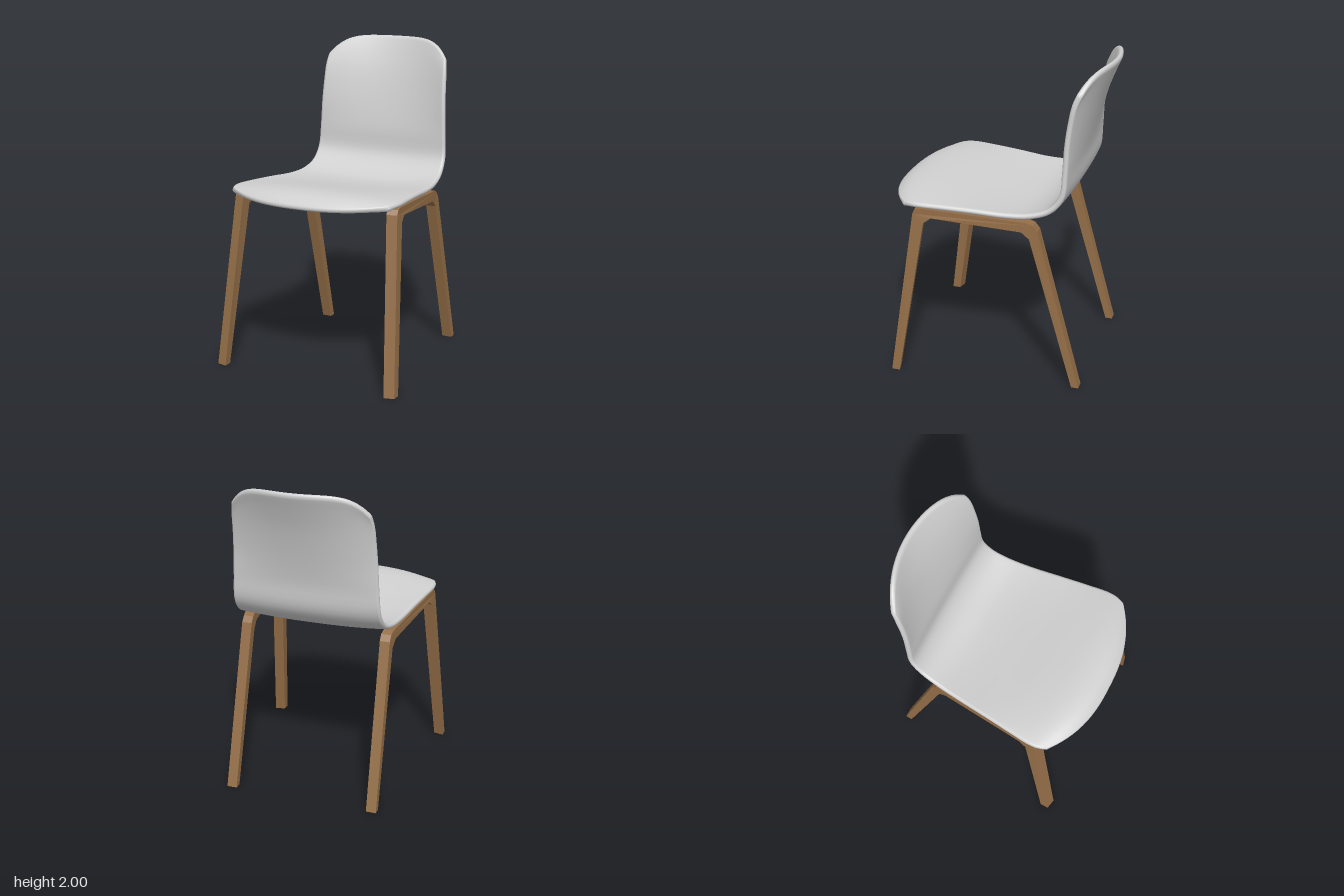
import * as THREE from 'three';
import { mergeVertices } from 'three/addons/utils/BufferGeometryUtils.js';

const V = (x, y, z) => new THREE.Vector3(x, y, z);
const clamp = THREE.MathUtils.clamp;

// Shell stations from front lip to top of back: centre z, y, then edge x, y, z
const STATIONS = [
  [0.673, 1.1, 0.54, 1.125, 0.51],
  [0.61, 1.145, 0.558, 1.13, 0.455],
  [0.5, 1.163, 0.563, 1.13, 0.4],
  [0.32, 1.147, 0.55, 1.127, 0.27],
  [0.1, 1.112, 0.528, 1.12, 0.09],
  [-0.12, 1.087, 0.503, 1.108, -0.12],
  [-0.27, 1.093, 0.487, 1.118, -0.27],
  [-0.39, 1.145, 0.475, 1.16, -0.385],
  [-0.465, 1.24, 0.467, 1.25, -0.455],
  [-0.485, 1.4, 0.458, 1.4, -0.47],
  [-0.525, 1.58, 0.451, 1.56, -0.475],
  [-0.58, 1.77, 0.444, 1.7, -0.49],
  [-0.63, 1.9, 0.439, 1.8, -0.51],
  [-0.673, 1.999, 0.428, 1.87, -0.54],
];
const centre = new THREE.CatmullRomCurve3(STATIONS.map(([z, y]) => V(0, y, z)));
const edge = new THREE.CatmullRomCurve3(STATIONS.map(([, , x, y, z]) => V(x, y, z)));

// Middle surface of the shell: t runs front to top, u runs from side to side
function shellPoint(t, u) {
  t = clamp(t, 0, 1);
  u = clamp(u, -1, 1);
  const c = centre.getPoint(t), e = edge.getPoint(t), a = Math.abs(u);
  const kz = t < 0.3 ? 2.5 : 2;
  const ky = 2.5 + 2.5 * THREE.MathUtils.smoothstep(t, 0.6, 0.95);
  return V(e.x * u, THREE.MathUtils.lerp(c.y, e.y, a ** ky), THREE.MathUtils.lerp(c.z, e.z, a ** kz));
}

// Parameters from 0 to 1, packed near both ends for the rounded rim
function samples(count, rim) {
  const list = [0, 0.07, 0.3, 0.65].map((f) => f * rim);
  const inner = [];
  for (let i = 0; i <= count; i++) inner.push(rim + ((1 - 2 * rim) * i) / count);
  return [...list, ...inner, ...list.map((v) => 1 - v).reverse()];
}

function shellGeometry() {
  const half = 0.0175, rimT = 0.02, rimU = 0.018, d = 0.004;
  const ts = samples(52, rimT), us = samples(28, rimU);
  const round = (v, rim) => {
    const q = 1 - Math.min(1, Math.min(v, 1 - v) / rim);
    return Math.sqrt(Math.max(0, 1 - q * q));
  };
  const positions = [], index = [], cols = us.length, size = ts.length * cols;
  for (const side of [1, -1]) {
    for (const t of ts) {
      for (const w of us) {
        const u = w * 2 - 1;
        const across = shellPoint(t, u + d).sub(shellPoint(t, u - d));
        const along = shellPoint(t + d, u).sub(shellPoint(t - d, u));
        const normal = across.cross(along).normalize();
        const p = shellPoint(t, u).addScaledVector(normal, side * half * round(t, rimT) * round(w, rimU));
        positions.push(p.x, p.y, p.z);
      }
    }
  }
  for (let i = 0; i < ts.length - 1; i++) {
    for (let j = 0; j < cols - 1; j++) {
      const a = i * cols + j, b = a + 1, c = a + cols, e = c + 1;
      index.push(a, b, c, b, e, c);
      index.push(...[a, c, b, b, c, e].map((k) => k + size));
    }
  }
  let g = new THREE.BufferGeometry();
  g.setAttribute('position', new THREE.Float32BufferAttribute(positions, 3));
  g.setIndex(index);
  g = mergeVertices(g, 1e-5);
  g.computeVertexNormals();
  return g;
}

// Side frame outline (z, y): outer edge front to rear, then inner edge back
const FRAME = [
  [0.61, 0], [0.46, 1.075], [0.443, 1.105], [0.405, 1.113], [-0.255, 1.075],
  [-0.29, 1.06], [-0.318, 1.025], [-0.595, 0], [-0.55, 0], [-0.268, 0.97],
  [-0.22, 1.012], [0.345, 1.055], [0.392, 1.02], [0.557, 0],
];

// Two legs and a rail in one bent piece, splayed outwards towards the feet
function frameGeometry(side) {
  const width = 0.064;
  const shape = new THREE.Shape(FRAME.map(([z, y]) => new THREE.Vector2(-z, y)));
  const g = new THREE.ExtrudeGeometry(shape, { depth: width, bevelEnabled: false });
  g.translate(0, 0, -width / 2).rotateY(Math.PI / 2);
  const p = g.attributes.position;
  for (let i = 0; i < p.count; i++) {
    const c = p.getX(i), y = p.getY(i), z = p.getZ(i);
    const knee = 0.481 + 0.107 * clamp(z, -0.29, 0.43);
    const splay = (1 - y / 1.08) * (z > 0 ? 0.063 : 0.014);
    p.setX(i, side * (knee + splay) + c);
    if (z > 0) p.setZ(i, z - 0.007 - 0.22 * c * side);
  }
  g.computeVertexNormals();
  return g;
}

export function createModel() {
  const shellGrey = new THREE.MeshStandardMaterial({ color: 0xd0d0d0 });
  shellGrey.name = 'shellGrey';
  const wood = new THREE.MeshStandardMaterial({ color: 0x956f48 });
  wood.name = 'wood';

  const chair = new THREE.Group();
  chair.name = 'chair';
  const add = (name, geometry, material) => {
    const mesh = new THREE.Mesh(geometry, material);
    mesh.name = name;
    chair.add(mesh);
  };
  add('seatShell', shellGeometry(), shellGrey);
  add('leftLegFrame', frameGeometry(1), wood);
  add('rightLegFrame', frameGeometry(-1), wood);
  return chair;
}
